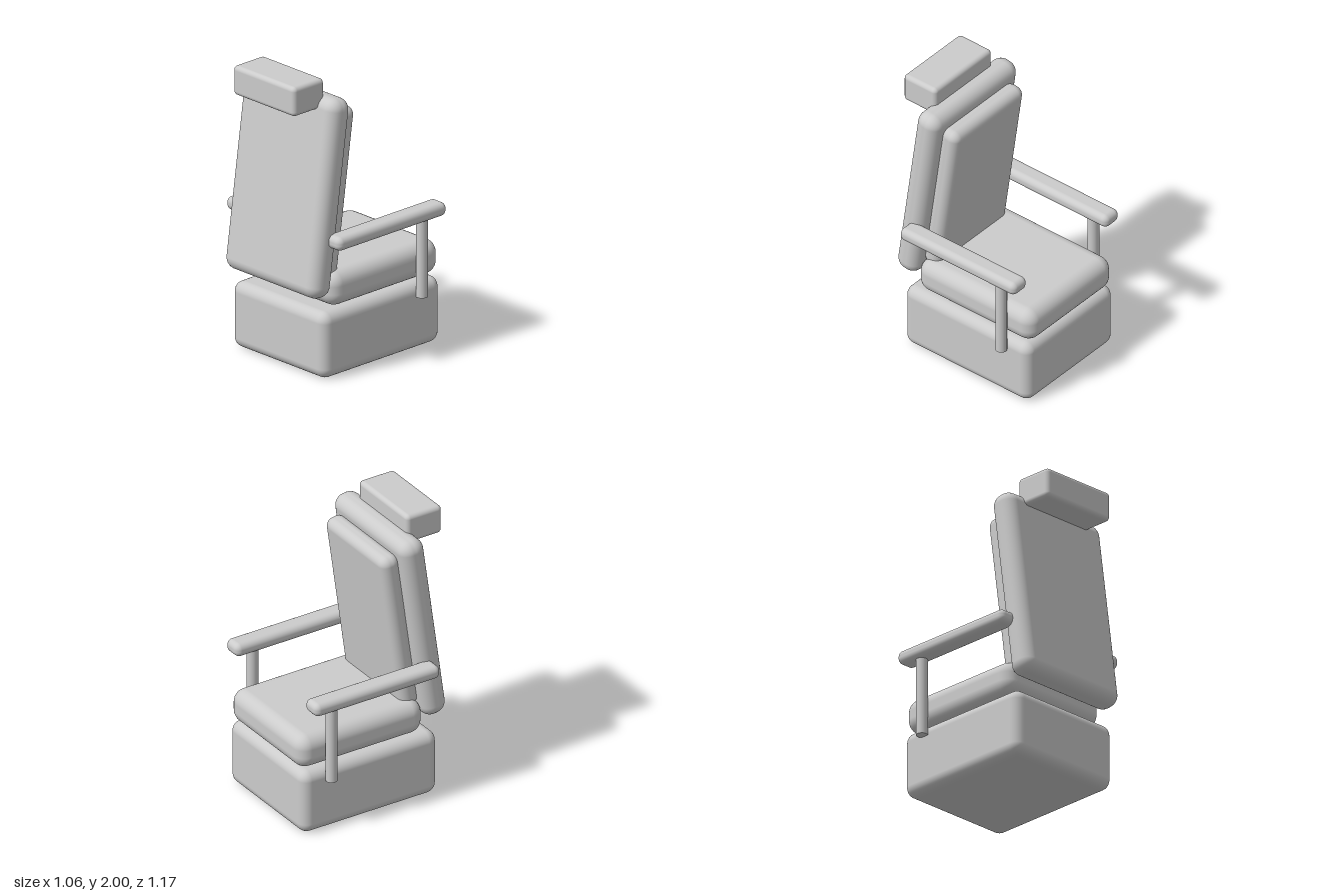
import * as THREE from 'three';
import { RoundedBoxGeometry } from 'three/addons/geometries/RoundedBoxGeometry.js';

const material = new THREE.MeshStandardMaterial({ color: 0xcccccc });
const RECLINE = THREE.MathUtils.degToRad(-8);

function addMesh(group, name, geometry, x, y, z, tilt = 0) {
  const mesh = new THREE.Mesh(geometry, material);
  mesh.name = name;
  mesh.position.set(x, y, z);
  mesh.rotation.x = tilt;
  group.add(mesh);
  return mesh;
}

// Rounded block: width, height, depth, edge radius
const block = (w, h, d, r) => new RoundedBoxGeometry(w, h, d, 4, r);

export function createModel() {
  const chair = new THREE.Group();
  chair.name = 'chair';

  // Base and seat
  addMesh(chair, 'base', block(0.87, 0.45, 1.035, 0.07), 0, 0.226, -0.057);
  addMesh(chair, 'seatCushion', block(0.84, 0.235, 0.955, 0.09), 0, 0.578, -0.107);

  // Reclined back with its padded cushion
  addMesh(chair, 'backrest', block(0.86, 1.335, 0.18, 0.08), 0, 1.217, 0.372, RECLINE);
  addMesh(chair, 'backCushion', block(0.7, 1.15, 0.14, 0.06), 0, 1.203, 0.235, RECLINE);
  addMesh(chair, 'headrest', block(0.57, 0.2, 0.27, 0.03), 0, 1.9, 0.45);

  // Armrests, each on one round post
  for (const [side, s] of [['left', 1], ['right', -1]]) {
    const arm = new THREE.Group();
    arm.name = side + 'Arm';
    addMesh(arm, side + 'Armrest', block(0.14, 0.092, 0.955, 0.04), s * 0.46, 0.944, -0.06);
    addMesh(arm, side + 'ArmPost', new THREE.CylinderGeometry(0.038, 0.038, 0.56, 24), s * 0.46, 0.65, -0.375);
    chair.add(arm);
  }

  return chair;
}
